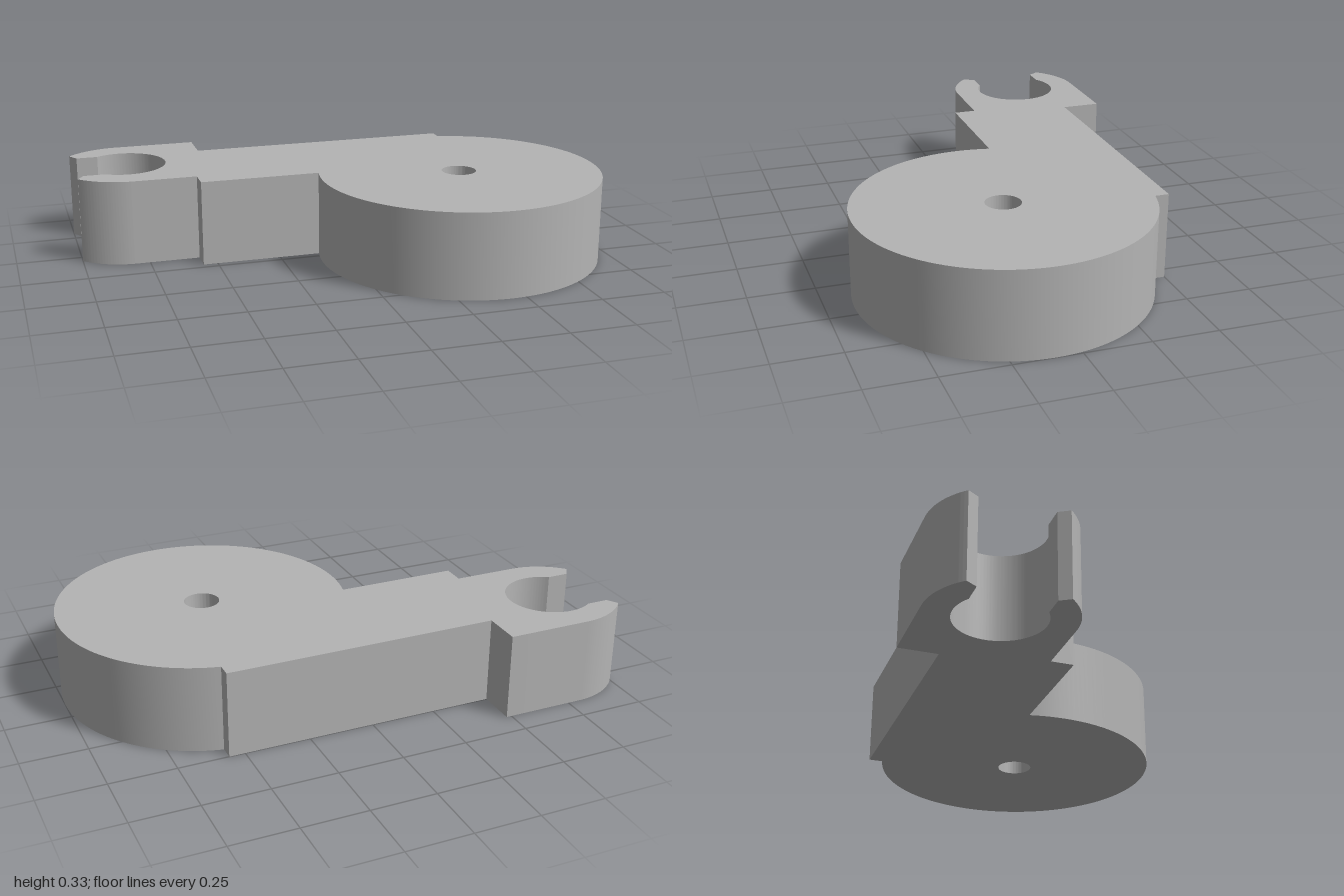
import * as THREE from 'three';
import { toCreasedNormals } from 'three/addons/utils/BufferGeometryUtils.js';

const HEIGHT = 0.332;
const DISC = { x: 0.447, y: -0.095, r: 0.553 };
const CLIP = { x: -0.8, y: 0.383, outer: 0.267, inner: 0.164 };

// Plan outline, drawn clockwise with y pointing to the back
function planShape() {
  const s = new THREE.Shape();
  const line = (...pts) => pts.forEach(([x, y]) => s.lineTo(x, y));

  // back edge of clip and arm
  s.moveTo(CLIP.x, 0.65);
  line([-0.48, 0.65], [-0.48, 0.5], [0.56, 0.5]);

  // round disc
  const a0 = Math.acos((0.56 - DISC.x) / DISC.r);
  const a1 = Math.PI - Math.asin((-0.03 + 0.155) / DISC.r);
  s.absarc(DISC.x, DISC.y, DISC.r, a0, a1, true);

  // front edge of arm and clip
  line([-0.556, 0.03], [-0.556, CLIP.y - CLIP.outer], [CLIP.x, CLIP.y - CLIP.outer]);

  // open jaw: curved outside, bevelled lips, round socket
  const tip = Math.acos(-0.2 / CLIP.outer);
  const lip = Math.PI - Math.asin(0.136 / CLIP.inner);
  s.absarc(CLIP.x, CLIP.y, CLIP.outer, -Math.PI / 2, -tip, true);
  line([-0.975, CLIP.y - 0.136]);
  s.absarc(CLIP.x, CLIP.y, CLIP.inner, -lip, lip, false);
  line([-0.975, CLIP.y + 0.136]);
  s.absarc(CLIP.x, CLIP.y, CLIP.outer, tip, Math.PI / 2, true);

  // pivot hole through the disc
  const hole = new THREE.Path();
  hole.absarc(DISC.x - 0.002, DISC.y + 0.001, 0.067, 0, Math.PI * 2, false);
  s.holes.push(hole);
  return s;
}

export function createModel() {
  const group = new THREE.Group();
  group.name = 'clipArm';
  const grey = new THREE.MeshStandardMaterial({ color: 0xb4b4b4 });
  grey.name = 'plain grey';

  const extruded = new THREE.ExtrudeGeometry(planShape(), {
    depth: HEIGHT, bevelEnabled: false, curveSegments: 64,
  });
  extruded.rotateX(-Math.PI / 2);

  const body = new THREE.Mesh(toCreasedNormals(extruded, 0.4), grey);
  body.name = 'armWithDiscAndClip';
  group.add(body);
  return group;
}
